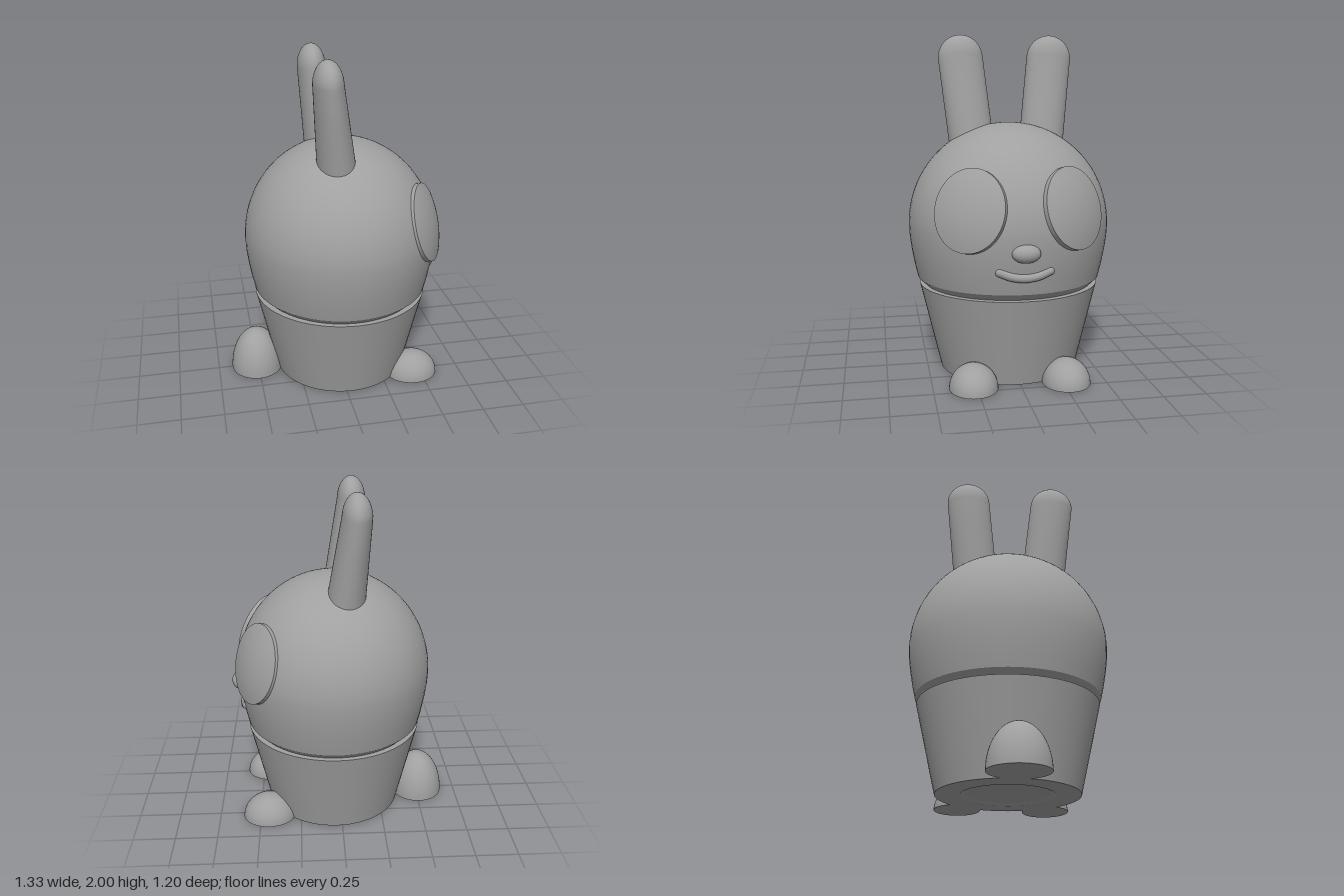
import * as THREE from 'three';
import { toCreasedNormals } from 'three/addons/utils/BufferGeometryUtils.js';

const grey = new THREE.MeshStandardMaterial({ color: 0xa0a0a0 });
grey.name = 'plain grey';

const CX = 0.035; // axis of head and body

function lathe(points, segments = 64, crease = 0.4) {
  const geo = new THREE.LatheGeometry(points.map(([r, y]) => new THREE.Vector2(r, y)), segments);
  return toCreasedNormals(geo, crease);
}

function arc(rx, ry, y0, steps) {
  const pts = [];
  for (let i = 0; i <= steps; i++) {
    const a = (i / steps) * Math.PI / 2;
    pts.push([i === steps ? 0 : rx * Math.cos(a), y0 + ry * Math.sin(a)]);
  }
  return pts;
}

function part(group, name, geometry, x = 0, y = 0, z = 0) {
  const mesh = new THREE.Mesh(geometry, grey);
  mesh.name = name;
  mesh.position.set(x, y, z);
  group.add(mesh);
  return mesh;
}

// Half ellipsoid standing on the ground
function mound(rx, ry, rz) {
  return lathe([[0, 0], ...arc(1, 1, 0, 16)], 40).scale(rx, ry, rz);
}

// Leaning oval ear with a rounded tip, widening towards the head
function earGeometry(side) {
  const geo = new THREE.LatheGeometry(
    [[1, 1.25], [1, 1.45], [1, 1.65], ...arc(1, 0.14, 1.86, 12)].map(([r, y]) => new THREE.Vector2(r, y)), 40);
  const p = geo.attributes.position;
  for (let i = 0; i < p.count; i++) {
    const y = p.getY(i);
    const d = Math.max(0, 1.87 - y);
    p.setX(i, -0.085 + d * 0.115 + p.getX(i) * (0.085 + d * 0.055));
    p.setZ(i, side * (0.27 - d * 0.11) + p.getZ(i) * 0.135);
  }
  return toCreasedNormals(geo, 1);
}

// Oval plate, domed to follow the head
function eyeGeometry() {
  const R = 0.612, r = 0.22, pts = [[r, 0.52]];
  for (let i = 0; i <= 8; i++) {
    const q = r * (1 - i / 8);
    pts.push([q, Math.sqrt(R * R - q * q)]);
  }
  return lathe(pts, 48).rotateX(Math.PI / 2).scale(0.965, 1.07, 1);
}

export function createModel() {
  const model = new THREE.Group();
  model.name = 'rabbitFigure';

  // Tapered body with a shallow round recess underneath
  part(model, 'body', lathe([
    [0, 0.015], [0.248, 0.015], [0.272, 0], [0.415, 0], [0.54, 0.525], [0, 0.525],
  ]).scale(0.98, 1, 1), CX);

  // Round head with a bevelled lower edge
  part(model, 'head', lathe([
    [0, 0.515], [0.497, 0.515], [0.55, 0.565], [0.568, 0.64], [0.585, 0.73], [0.596, 0.81],
    ...arc(0.6, 0.6, 0.885, 28),
  ]).scale(0.967, 1, 1), CX);

  for (const side of [1, -1]) {
    const label = side > 0 ? 'A' : 'B';
    part(model, 'ear' + label, earGeometry(side));
    part(model, 'foot' + label, mound(0.16, 0.145, 0.14), 0.445, 0, side * 0.27);
    const eye = part(model, 'eye' + label, eyeGeometry(), CX, 0.88, 0);
    eye.lookAt(CX + 0.81, 0.88 + 0.265, side * 0.515);
  }

  part(model, 'tail', mound(0.16, 0.262, 0.172), -0.505);
  part(model, 'nose', new THREE.SphereGeometry(1, 32, 20).scale(0.05, 0.052, 0.08), 0.61, 0.805, 0);

  // Smile: a bent rod with round ends
  const mouth = new THREE.Group();
  mouth.name = 'mouth';
  model.add(mouth);
  const path = new THREE.CatmullRomCurve3([-0.14, -0.075, 0, 0.075, 0.14].map((z) =>
    new THREE.Vector3(0.587 - 0.9 * z * z, 0.664 + 1.7 * z * z, z)));
  part(mouth, 'lip', new THREE.TubeGeometry(path, 32, 0.025, 12));
  for (const t of [0, 1]) {
    const p = path.getPoint(t);
    part(mouth, 'lipEnd', new THREE.SphereGeometry(0.025, 16, 12), p.x, p.y, p.z);
  }

  return model;
}
